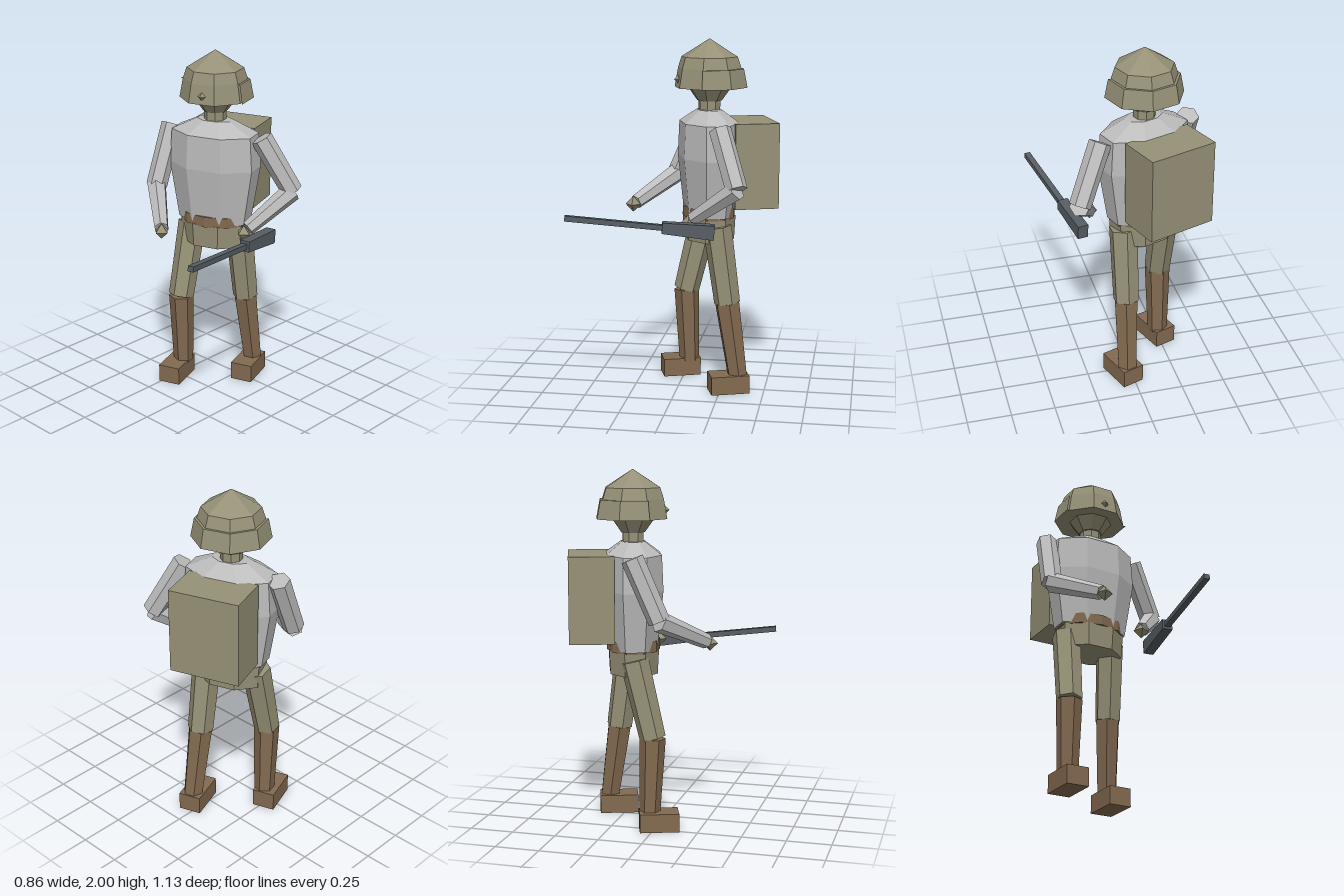
import * as THREE from 'three';

const flat = (name, color) => {
  const m = new THREE.MeshStandardMaterial({ color, flatShading: true });
  m.name = name;
  return m;
};
const V = (x, y, z) => new THREE.Vector3(x, y, z);

export function createModel() {
  const olive = flat('olive cloth', 0x969177);
  const brown = flat('brown leather', 0x836a50);
  const grey = flat('grey shirt', 0xbcbcbd);
  const slate = flat('gun metal', 0x575e64);
  const root = new THREE.Group();
  root.name = 'soldier';

  const add = (parent, name, geometry, material, x = 0, y = 0, z = 0) => {
    const mesh = new THREE.Mesh(geometry, material);
    mesh.name = name;
    mesh.position.set(x, y, z);
    parent.add(mesh);
    return mesh;
  };
  // Eight-sided turned solid, profile given bottom to top, with a flat side forward
  const turned = (profile, sx = 1, sz = 1) =>
    new THREE.LatheGeometry(profile.map(([r, y]) => new THREE.Vector2(r, y)), 8, Math.PI / 8).scale(sx, 1, sz);
  // Six-sided tapered limb between two points
  const limb = (name, from, to, r0, r1, material) => {
    const dir = to.clone().sub(from);
    const mesh = add(root, name, new THREE.CylinderGeometry(r1, r0, dir.length(), 6), material);
    mesh.position.copy(from).add(to).multiplyScalar(0.5);
    mesh.quaternion.setFromUnitVectors(V(0, 1, 0), dir.normalize());
  };

  // Trunk and head, turned towards the model's left
  const turn = 0.335;
  const body = new THREE.Group();
  body.name = 'body';
  body.position.set(-0.1, 0, -0.16);
  body.rotation.y = turn;
  root.add(body);

  add(body, 'torso', turned([[0, 1.01], [0.8, 1.01], [1, 1.34], [0.95, 1.535], [0.4, 1.605], [0, 1.605]], 0.275, 0.175), grey);
  add(body, 'belt', new THREE.CylinderGeometry(1, 1, 0.06, 10).scale(0.205, 1, 0.15), brown, 0, 1.03, 0);
  add(body, 'pelvis', turned([[0, 0.87], [0.95, 0.87], [1, 1.005], [0, 1.005]], 0.205, 0.15), olive);
  add(body, 'neck', turned([[0, 1.58], [0.062, 1.58], [0.062, 1.68], [0, 1.68]]), olive);
  add(body, 'head', turned([[0, 1.65], [0.07, 1.655], [0.125, 1.73], [0.13, 1.78], [0, 1.8]]), olive);
  add(body, 'helmet', turned([[0, 1.73], [0.2, 1.73], [0.18, 1.84], [0.16, 1.9], [0, 2]]), olive);
  add(body, 'nose', new THREE.OctahedronGeometry(0.024), olive, 0, 1.775, 0.178);
  add(body, 'backpack', new THREE.BoxGeometry(0.4, 0.48, 0.25), olive, -0.005, 1.3, -0.235);

  // Neck guard wrapping the sides and back of the helmet
  const guard = new THREE.LatheGeometry(
    [[0.19, 1.73], [0.216, 1.73], [0.195, 1.835], [0.17, 1.835]].map(([r, y]) => new THREE.Vector2(r, y)),
    5, Math.PI * 3 / 8, Math.PI * 5 / 4);
  const guardMesh = add(body, 'neckGuard', guard, olive.clone());
  guardMesh.material = olive;

  // Legs in mid stride with boots
  const legs = [
    ['right', V(-0.24, 0.96, -0.115), V(-0.233, 0.525, -0.012), V(-0.235, 0.09, -0.028), [-0.2375, 0.025]],
    ['left', V(0.03, 0.96, -0.225), V(0.03, 0.52, -0.285), V(0.037, 0.09, -0.348), [0.05, -0.297]],
  ];
  for (const [side, hip, knee, ankle, [bx, bz]] of legs) {
    limb(side + 'Thigh', hip, knee, 0.082, 0.074, olive);
    limb(side + 'Shin', knee, ankle, 0.073, 0.058, brown);
    add(root, side + 'Boot', new THREE.BoxGeometry(0.13, 0.105, 0.22), brown, bx, 0.0525, bz).rotation.y = turn;
  }

  // Bent arms with small pointed hands
  const arms = [
    ['right', V(-0.37, 1.535, -0.085), V(-0.355, 1.2, 0.06), V(-0.105, 1.06, 0.265), V(-0.09, 1.05, 0.278)],
    ['left', V(0.165, 1.525, -0.255), V(0.305, 1.22, -0.365), V(0.2, 1.035, -0.115), V(0.19, 1.012, -0.09)],
  ];
  for (const [side, shoulder, elbow, wrist, hand] of arms) {
    limb(side + 'UpperArm', shoulder, elbow, 0.062, 0.06, grey);
    limb(side + 'Forearm', elbow, wrist, 0.058, 0.042, grey);
    add(root, side + 'Hand', new THREE.OctahedronGeometry(0.045), olive, hand.x, hand.y, hand.z);
  }

  // Rifle: slim barrel and a stock deeper at its rear end
  const rifle = new THREE.Group();
  rifle.name = 'rifle';
  rifle.position.set(0.315, 1.005, 0.04);
  rifle.lookAt(0.415, 1.06, 0.56);
  root.add(rifle);
  add(rifle, 'barrel', new THREE.BoxGeometry(0.034, 0.03, 0.53), slate, 0, 0, 0.265);
  const stock = new THREE.BoxGeometry(0.06, 0.06, 0.285);
  const p = stock.attributes.position;
  for (let i = 0; i < p.count; i++) {
    if (p.getZ(i) < 0) p.setY(i, p.getY(i) * 1.35);
  }
  add(rifle, 'stock', stock, slate, 0, 0, -0.1425);

  return root;
}
